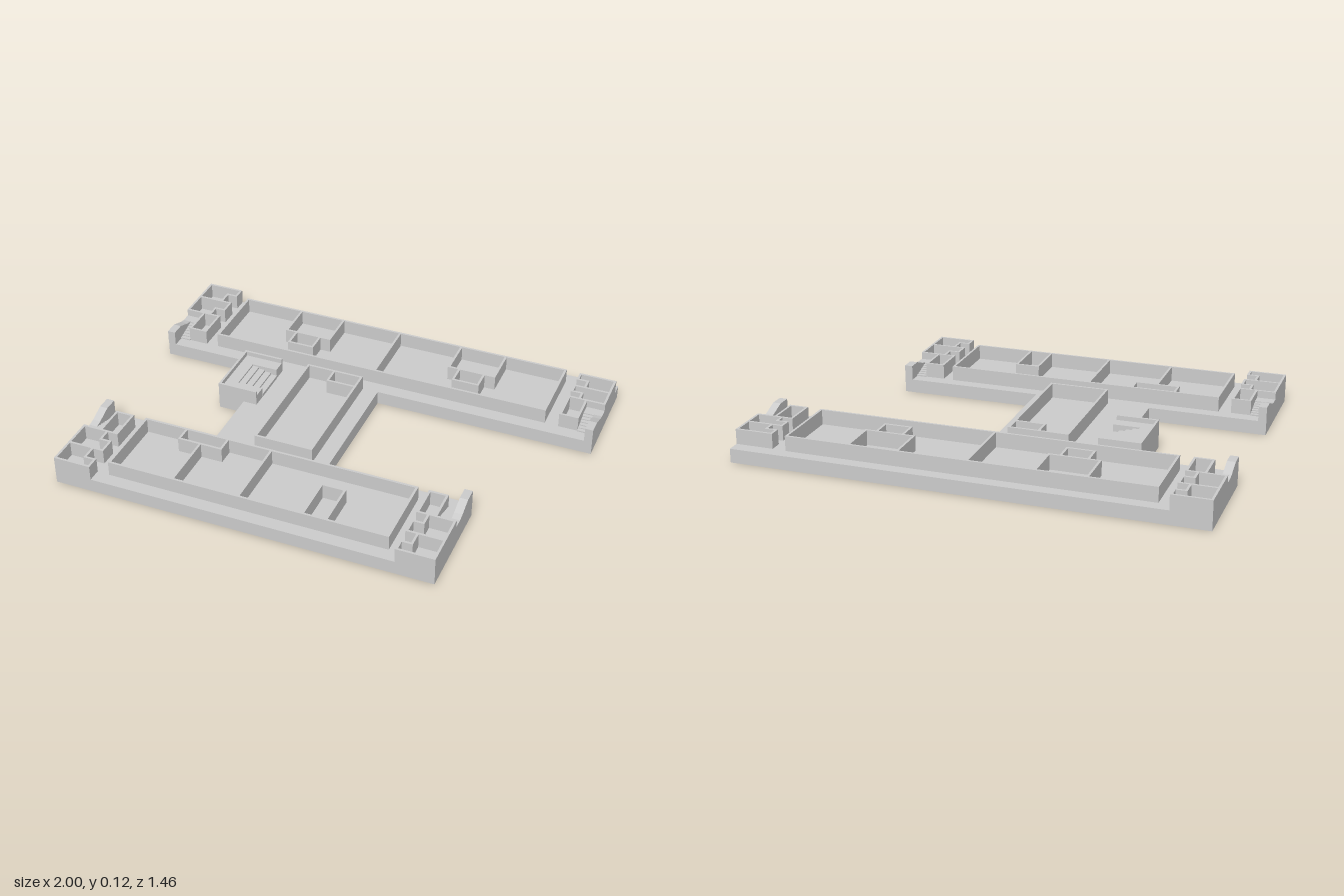
import * as THREE from 'three';

const FLOOR = 0.06, TOP = 0.125, T = 0.01;
const material = new THREE.MeshStandardMaterial({ color: 0xcccccc, flatShading: true });

// Box given by two opposite corners in plan (any order) and its bottom and top
function block(parent, name, x0, z0, x1, z1, y0 = FLOOR, y1 = TOP) {
  const mesh = new THREE.Mesh(new THREE.BoxGeometry(Math.abs(x1 - x0), y1 - y0, Math.abs(z1 - z0)), material);
  mesh.position.set((x0 + x1) / 2, (y0 + y1) / 2, (z0 + z1) / 2);
  mesh.name = name;
  parent.add(mesh);
}

// Thin walls following a right-angled path of [x, z] points
function walls(parent, name, points) {
  const h = T / 2;
  for (let i = 1; i < points.length; i++) {
    const [ax, az] = points[i - 1], [bx, bz] = points[i];
    block(parent, name, Math.min(ax, bx) - h, Math.min(az, bz) - h, Math.max(ax, bx) + h, Math.max(az, bz) + h);
  }
}

const room = (parent, name, x0, z0, x1, z1) =>
  walls(parent, name, [[x0, z0], [x1, z0], [x1, z1], [x0, z1], [x0, z0]]);

// One slab in plan, as an outline of [x, z] points
function slab(outline) {
  const shape = new THREE.Shape(outline.map(([x, z]) => new THREE.Vector2(x, -z)));
  const geometry = new THREE.ExtrudeGeometry(shape, { depth: FLOOR, bevelEnabled: false });
  geometry.rotateX(-Math.PI / 2);
  const mesh = new THREE.Mesh(geometry, material);
  mesh.name = 'baseSlab';
  return mesh;
}

// Service block at the end of a wing: two cells, a store and a stair.
// u runs inward from the end, v inward from the long outer edge.
function endBlock(x0, sx, z0, sz, v) {
  const g = new THREE.Group();
  g.name = 'endBlock';
  const at = (u, w) => [x0 + sx * u, z0 + sz * w];
  const path = (name, pts) => walls(g, name, pts.map(p => at(...p)));
  const h = T / 2, outer = 0.165 - h, inner = 0.115;
  const [start, step1, middle, step2, end] = v;
  path('cellWall', [[h, end], [h, start + h], [outer, start + h], [outer, step1], [inner, step1], [inner, middle]]);
  path('cellWall', [[h, middle], [outer, middle], [outer, step2], [inner, step2], [inner, end]]);
  path('cellWall', [[h, end], [outer, end]]);
  path('storeWall', [[0.085, end], [0.085, 0.38], [outer, 0.38], [outer, end]]);

  // landing and descending steps
  block(g, 'landing', ...at(0, end), ...at(0.08, 0.295), FLOOR, 0.093);
  const steps = 6, run = 0.095 / steps;
  for (let i = 0; i < steps; i++) {
    block(g, 'stairStep', ...at(0.035, 0.295 + i * run), ...at(0.08, 0.295 + (i + 1) * run),
      FLOOR, 0.093 - (i + 1) * 0.0045);
  }

  // sloping parapet beside the steps
  const profile = [[0.29, FLOOR], [0.29, 0.093], [0.32, 0.1], [0.385, TOP], [0.445, TOP], [0.445, FLOOR]];
  const shape = new THREE.Shape(profile.map(([w, y]) => new THREE.Vector2(-(z0 + sz * w), y)));
  const geometry = new THREE.ExtrudeGeometry(shape, { depth: 0.035, bevelEnabled: false });
  geometry.rotateY(Math.PI / 2);
  geometry.translate(sx > 0 ? x0 : x0 - 0.035, 0, 0);
  const parapet = new THREE.Mesh(geometry, material);
  parapet.name = 'stairParapet';
  g.add(parapet);
  return g;
}

export function createModel() {
  const model = new THREE.Group();
  model.name = 'buildingFloor';

  model.add(slab([
    [-1, -0.73], [1, -0.73], [1, -0.287], [0.03, -0.287], [0.03, 0.287], [0.66, 0.287], [0.66, 0.73],
    [-1, 0.73], [-1, 0.287], [-0.487, 0.287], [-0.487, 0], [-0.605, 0], [-0.605, -0.287], [-1, -0.287],
  ]));

  // Back wing: two large rooms, each with a nook and closet
  const back = new THREE.Group();
  back.name = 'backWing';
  room(back, 'outerWall', -0.775, -0.672, 0.77, -0.352);
  walls(back, 'partition', [[-0.01, -0.672], [-0.01, -0.352]]);
  for (const s of [-1, 1]) {
    const c = s < 0 ? -0.395 : 0.39;
    walls(back, 'nookWall', [[c - 0.105, -0.672], [c - 0.105, -0.503], [c + 0.105, -0.503], [c + 0.105, -0.672]]);
    walls(back, 'closetWall', [[c - 0.057, -0.503], [c - 0.057, -0.417], [c + 0.057, -0.417], [c + 0.057, -0.503]]);
  }
  model.add(back);

  // Front wing: three rooms
  const front = new THREE.Group();
  front.name = 'frontWing';
  room(front, 'outerWall', -0.775, 0.347, 0.445, 0.668);
  walls(front, 'partition', [[-0.195, 0.347], [-0.195, 0.668]]);
  walls(front, 'partition', [[-0.487, 0.417], [-0.487, 0.668]]);
  walls(front, 'closetWall', [[-0.583, 0.347], [-0.583, 0.417], [-0.392, 0.417], [-0.392, 0.347]]);
  walls(front, 'nookWall', [[0.085, 0.668], [0.085, 0.473], [0.185, 0.473], [0.185, 0.668]]);
  model.add(front);

  // Link between the wings
  const link = new THREE.Group();
  link.name = 'link';
  room(link, 'outerWall', -0.297, -0.28, -0.045, 0.278);
  walls(link, 'closetWall', [[-0.173, -0.28], [-0.173, -0.203], [-0.045, -0.203]]);
  model.add(link);

  // Raised porch with parapets and steps
  const porch = new THREE.Group();
  porch.name = 'porch';
  block(porch, 'porchDeck', -0.595, -0.275, -0.54, -0.01, FLOOR, 0.105);
  block(porch, 'porchDeck', -0.54, -0.275, -0.425, -0.215, FLOOR, 0.105);
  block(porch, 'porchDeck', -0.54, -0.065, -0.425, -0.01, FLOOR, 0.105);
  for (let i = 0; i < 4; i++) {
    block(porch, 'porchStep', -0.54 + i * 0.029, -0.215, -0.511 + i * 0.029, -0.065, FLOOR, 0.098 - i * 0.008);
  }
  walls(porch, 'porchParapet', [[-0.6, -0.275], [-0.6, -0.005], [-0.43, -0.005]]);
  walls(porch, 'porchParapet', [[-0.6, -0.275], [-0.43, -0.275]]);
  model.add(porch);

  // Service blocks at the four ends
  const cells = [0, 0.055, 0.12, 0.185, 0.243];
  model.add(
    endBlock(-1, 1, 0.73, -1, cells),
    endBlock(0.66, -1, 0.73, -1, cells),
    endBlock(-1, 1, -0.73, 1, cells),
    endBlock(1, -1, -0.73, 1, [0.057, 0.105, 0.155, 0.2, 0.243]),
  );
  return model;
}
